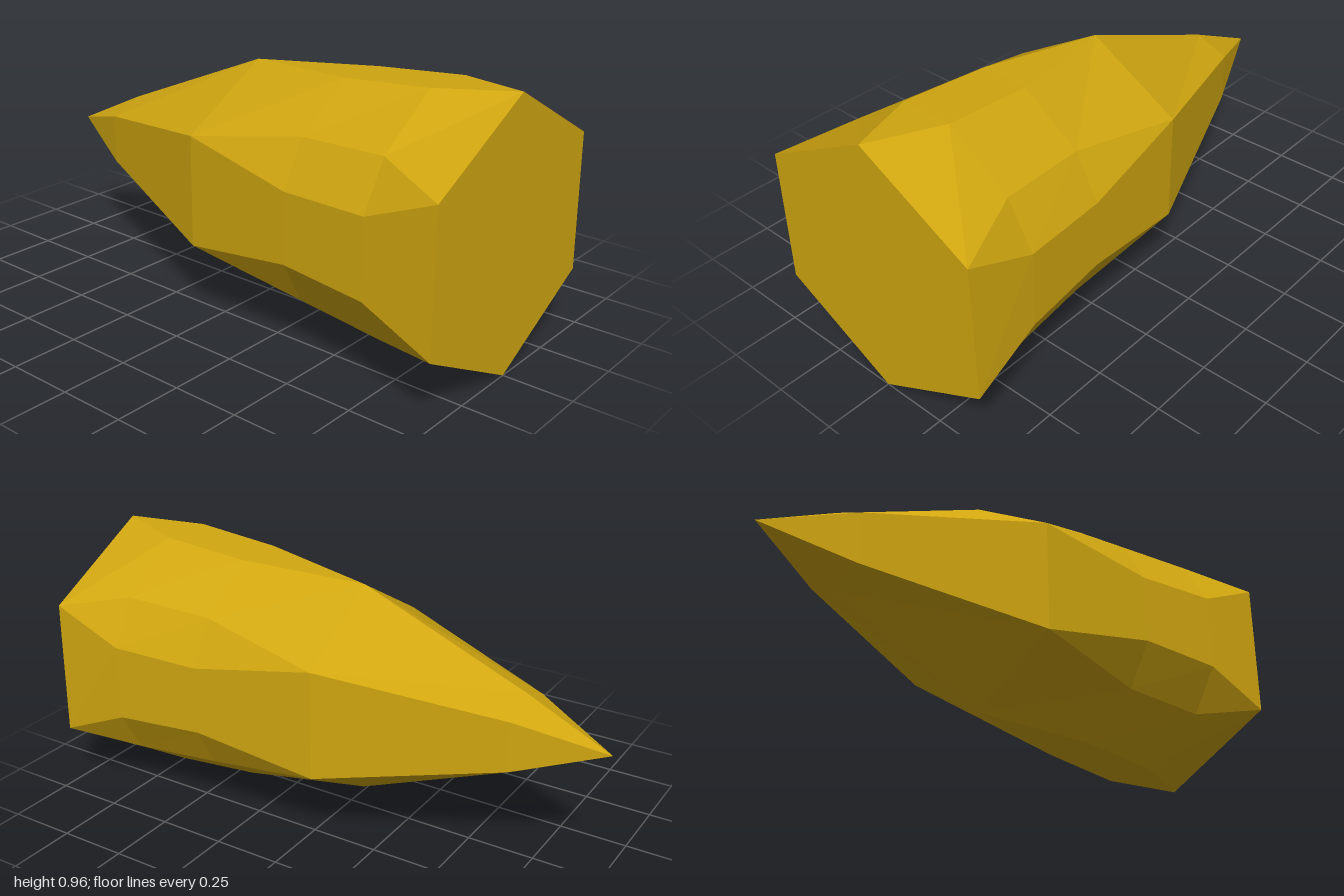
import * as THREE from 'three';

// Hexagonal ring, counter-clockwise from the front, every corner listed twice
function hexRing(z, halfWidth, top, upper, lower, bottom) {
  const corners = [
    [halfWidth, lower], [halfWidth, upper], [0, top],
    [-halfWidth, upper], [-halfWidth, lower], [0, bottom],
  ];
  return corners.flatMap(([x, y]) => [[x, y, z], [x, y, z]]);
}

// Ring with bevelled corners: half given as points on the +x side, bottom to top
function bevelRing(z, half) {
  const right = half.map(([x, y]) => [x, y, z]);
  const left = half.map(([x, y]) => [-x, y, z]).reverse();
  const ring = [...right, ...left];
  // start at the lower right corner, to match hexRing
  return [...ring.slice(1), ring[0]];
}

// Skin a list of rings with flat faces, skipping collapsed triangles
function loft(rings) {
  const positions = [];
  const triangle = (a, b, c) => {
    const [p, q, r] = [a, b, c].map((v) => new THREE.Vector3(...v));
    if (q.clone().sub(p).cross(r.clone().sub(p)).length() > 1e-6) positions.push(...a, ...b, ...c);
  };
  for (let i = 0; i < rings.length - 1; i++) {
    const front = rings[i], back = rings[i + 1], n = front.length;
    for (let j = 0; j < n; j++) {
      const k = (j + 1) % n;
      triangle(front[j], back[j], back[k]);
      triangle(front[j], back[k], front[k]);
    }
  }
  // flat front cap
  const cap = rings[0];
  for (let j = 1; j < cap.length - 1; j++) triangle(cap[0], cap[j], cap[j + 1]);

  const geometry = new THREE.BufferGeometry();
  geometry.setAttribute('position', new THREE.Float32BufferAttribute(positions, 3));
  geometry.computeVertexNormals();
  return geometry;
}

export function createModel() {
  const gold = new THREE.MeshStandardMaterial({ color: 0xd0a610 });
  gold.name = 'gold';

  const frontRing = hexRing(1, 0.445, 0.963, 0.732, 0.232, 0.003);
  frontRing[2][0] = frontRing[3][0] = 0.432; // slightly uneven upper corner

  const rings = [
    frontRing,
    bevelRing(0.735, [[0.1, 0.018], [0.335, 0.178], [0.43, 0.342], [0.43, 0.622], [0.335, 0.787], [0.1, 0.947]]),
    bevelRing(0.4, [[0.095, 0.048], [0.31, 0.198], [0.4, 0.357], [0.4, 0.61], [0.31, 0.77], [0.095, 0.92]]),
    hexRing(-0.055, 0.352, 0.888, 0.686, 0.281, 0.079),
    hexRing(-0.69, 0.128, 0.628, 0.576, 0.391, 0.338),
    hexRing(-1, 0, 0.483, 0.483, 0.483, 0.483), // tip
  ];

  const crystal = new THREE.Mesh(loft(rings), gold);
  crystal.name = 'crystalSpike';

  const model = new THREE.Group();
  model.name = 'crystal';
  model.add(crystal);
  return model;
}
